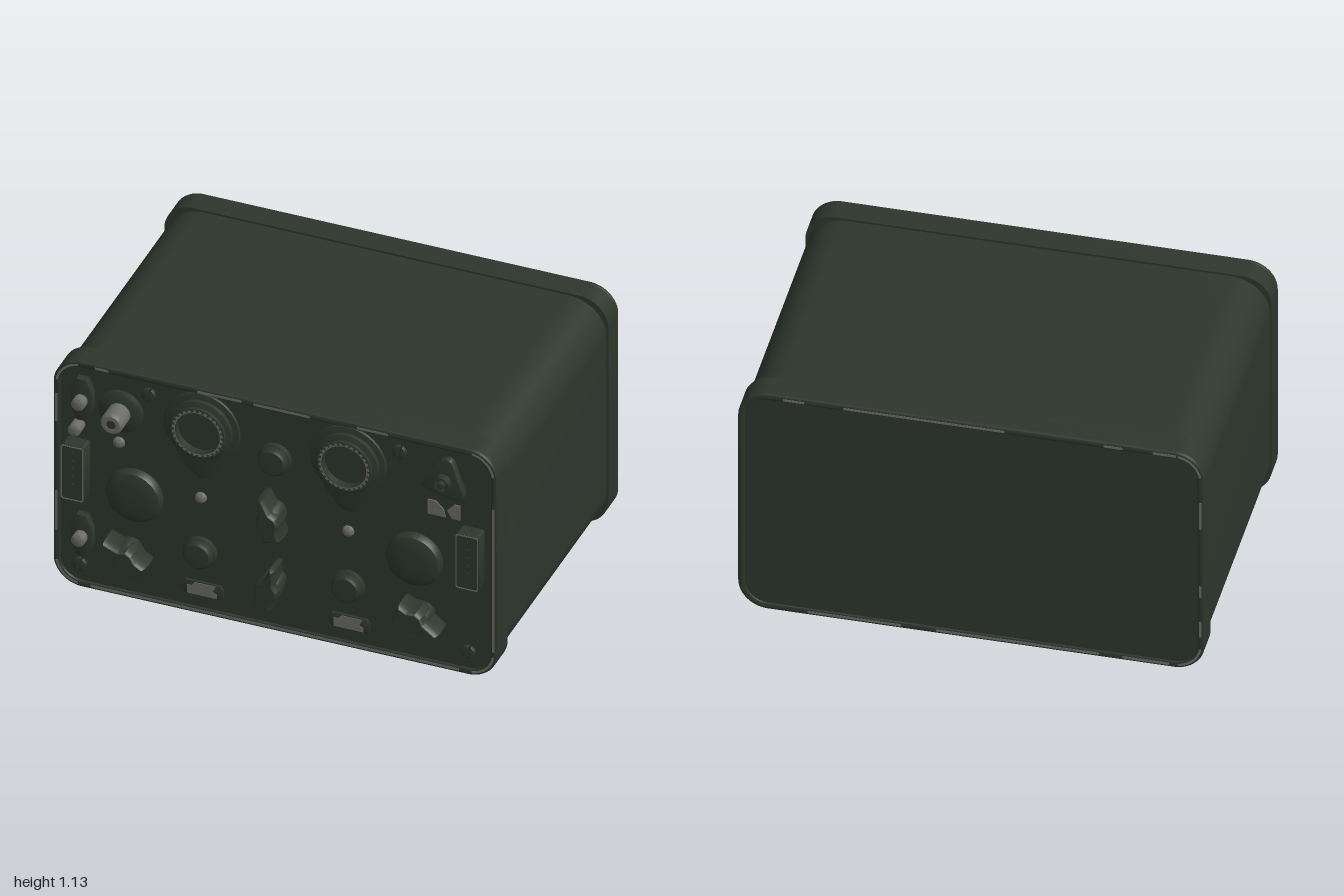
import * as THREE from 'three';
import { toCreasedNormals } from 'three/addons/utils/BufferGeometryUtils.js';

const paint = new THREE.MeshStandardMaterial({ color: 0x2d362d });
paint.name = 'dark green paint';
const metal = new THREE.MeshStandardMaterial({ color: 0x6b6c67 });
metal.name = 'bare grey metal';

const H = 1.133, FACE = 0.615, MID = H / 2;

export function createModel() {
  const model = new THREE.Group();
  model.name = 'radioUnit';

  const add = (name, geo, mat, x, y, z, rot = 0) => {
    const mesh = new THREE.Mesh(toCreasedNormals(geo, 0.6), mat);
    mesh.name = name;
    mesh.position.set(x, y, z);
    mesh.rotation.z = rot;
    model.add(mesh);
    return mesh;
  };
  const roundRect = (w, h, r, S = THREE.Shape) => {
    const s = new S();
    [[w - r, h - r], [r - w, h - r], [r - w, r - h], [w - r, r - h]].forEach(([x, y], i) =>
      s.absarc(x, y, r, i * Math.PI / 2, (i + 1) * Math.PI / 2));
    s.closePath();
    return s;
  };
  // Extrusion along z with an optional bevel kept inside the outline
  const slab = (shape, depth, bevel = 0, thick = bevel, seg = 2) => {
    const g = new THREE.ExtrudeGeometry(shape, {
      depth: depth - 2 * (bevel ? thick : 0), curveSegments: 12, bevelEnabled: bevel > 0,
      bevelSize: bevel, bevelOffset: -bevel, bevelThickness: thick, bevelSegments: seg,
    });
    return bevel ? g.translate(0, 0, thick) : g;
  };
  const poly = pts => new THREE.Shape(pts.map(p => new THREE.Vector2(...p)));
  // Turned part whose axis points forward; profile is [radius, height]
  const turned = (name, mat, profile, x, y, z = FACE - 0.005, sides = 32) =>
    add(name, new THREE.LatheGeometry(profile.map(p => new THREE.Vector2(...p)), sides)
      .rotateX(Math.PI / 2), mat, x, y, z);

  // Case between the two end rims
  add('case', slab(roundRect(0.993, MID - 0.009, 0.17), 1.3), paint, 0, MID, -0.7);

  // End rims, each a slab with a raised lip
  const lip = roundRect(1, MID, 0.13);
  lip.holes.push(roundRect(0.97, MID - 0.03, 0.1, THREE.Path));
  add('frontRim', slab(roundRect(1, MID, 0.13), 0.1), paint, 0, MID, 0.505);
  add('frontPanel', slab(roundRect(0.99, MID - 0.01, 0.12), 0.02), paint, 0, MID, FACE - 0.02);
  add('frontLip', slab(lip, 0.03, 0.009), paint, 0, MID, 0.595);
  add('backRim', slab(roundRect(1, MID, 0.13), 0.1), paint, 0, MID, -0.715);
  add('backPanel', slab(roundRect(0.99, MID - 0.01, 0.12), 0.02), paint, 0, MID, -0.727);
  add('backLip', slab(lip, 0.03, 0.009), paint, 0, MID, -0.735);

  // Worn metal on the lips: [centre x, centre y, width, height]
  const top = H - 0.016, low = 0.016, w = 0.011;
  [[-0.78, top, 0.06, w], [-0.25, top, 0.2, w], [0.03, top, 0.25, w], [0.44, top, 0.14, w],
    [0, low, 1.66, w], [0.984, 0.5, w, 0.72], [-0.984, 0.36, w, 0.2], [-0.984, 0.88, w, 0.14]]
    .forEach(([x, y, a, b]) => add('frontWear', new THREE.BoxGeometry(a, b, 0.006), metal, x, y, 0.6235));
  [[-0.83, top, 0.1, w], [-0.61, top, 0.08, w], [0.2, top, 0.69, w], [0.76, top, 0.09, w],
    [-0.984, 0.82, w, 0.14], [-0.984, 0.42, w, 0.06], [-0.984, 0.22, w, 0.08],
    [-0.2, low, 0.7, w], [0.5, low, 0.4, w], [-0.75, low, 0.2, w]]
    .forEach(([x, y, a, b]) => add('backWear', new THREE.BoxGeometry(a, b, 0.006), metal, x, y, -0.7335));
  [[-0.715, 0.14, -0.7335], [-0.715, 0.98, -0.7335]].forEach(([, y], i) =>
    add('backCornerWear', slab(cornerArc(), 0.006), metal, -0.87, i ? H - 0.13 : 0.13, -0.7365, i ? 0 : Math.PI / 2));
  [[0.87, H - 0.13, -1], [-0.87, H - 0.13, 0], [-0.87, 0.13, 1], [0.87, 0.13, 2]].forEach(([x, y, q]) =>
    add('frontCornerWear', slab(cornerArc(), 0.006), metal, x, y, 0.6205, q * Math.PI / 2));

  // Corner screws with a slot
  [[-0.57, 1.045], [0.56, 1.045], [-0.88, 0.115], [0.87, 0.115]].forEach(([x, y]) => {
    for (const s of [-1, 1]) {
      const half = new THREE.Shape();
      half.absarc(0, 0, 0.032, 0.12, Math.PI - 0.12);
      add('screwHalf', slab(half, 0.025, 0.006), paint, x, y, FACE - 0.005, s > 0 ? 1.2 : 1.2 + Math.PI);
    }
  });

  // Teardrop dials with a notched metal ring
  const tear = new THREE.Shape();
  tear.absarc(0, 0, 0.172, -0.6, Math.PI + 0.6);
  tear.bezierCurveTo(-0.09, -0.16, -0.06, -0.25, 0, -0.25);
  tear.bezierCurveTo(0.06, -0.25, 0.09, -0.16, 0.142, -0.097);
  for (const x of [-0.33, 0.33]) {
    add('dialPlate', slab(tear, 0.018, 0.005), paint, x, 0.94, FACE - 0.004);
    turned('dialCollar', paint, [[0.142, 0], [0.142, 0.035], [0.12, 0.042], [0.12, 0.058],
      [0.1, 0.058], [0.1, 0.025], [0, 0.025]], x, 0.94, FACE - 0.002, 40);
    add('dialRing', new THREE.RingGeometry(0.101, 0.115, 40), metal, x, 0.94, FACE + 0.0575);
    for (let i = 0; i < 28; i++) {
      const a = i * Math.PI / 14;
      add('dialNotch', new THREE.BoxGeometry(0.016, 0.009, 0.012), paint,
        x + 0.114 * Math.cos(a), 0.94 + 0.114 * Math.sin(a), FACE + 0.053, a);
    }
  }

  // Push buttons
  for (const [x, y] of [[0, 0.868], [-0.336, 0.313], [0.33, 0.313]])
    turned('button', paint, [[0.073, 0], [0.073, 0.025], [0.064, 0.03], [0.064, 0.05],
      [0.055, 0.058], [0, 0.061]], x, y);

  // Large round covers
  for (const x of [-0.63, 0.63])
    turned('roundCover', paint, [[0.125, 0], [0.125, 0.03], [0.117, 0.043], [0.1, 0.05],
      [0.06, 0.054], [0, 0.055]], x, 0.527, FACE - 0.005, 40);

  // Pointer knobs: [x, y, turn]
  const pointer = poly([[-0.04, -0.1], [0.04, -0.1], [0.037, -0.055], [0.055, -0.02], [0.05, 0.012],
    [0.027, 0.035], [0.012, 0.11], [-0.012, 0.11], [-0.027, 0.035], [-0.05, 0.012],
    [-0.055, -0.02], [-0.037, -0.055]]);
  for (const [x, y, a] of [[0, 0.61, 0.26], [0, 0.265, -0.24], [-0.65, 0.255, 0.97], [0.67, 0.265, -2.0]]) {
    add('pointerKnob', slab(pointer, 0.125, 0.011, 0.045, 3), paint, x, y, 0.61, a);
    turned('knobBase', paint, [[0.05, 0], [0.05, 0.07], [0.035, 0.105], [0, 0.118]], x, y, 0.613, 20);
  }

  // Antenna post
  turned('antennaFlange', paint, [[0.1, 0], [0.1, 0.02], [0.085, 0.03], [0, 0.03]], -0.695, 0.93);
  turned('antennaPost', metal, [[0.05, 0], [0.05, 0.115], [0.04, 0.125], [0.021, 0.125], [0.021, 0.09], [0, 0.09]],
    -0.695, 0.93, 0.61, 24);
  turned('antennaSocket', paint, [[0.0205, 0], [0.0205, 0.004], [0, 0.004]], -0.695, 0.93, 0.73, 20);

  // Terminal plates with metal pins
  const lens = poly([[-0.022, -0.105], [0.022, -0.105], [0.05, -0.04], [0.05, 0.04],
    [0.022, 0.105], [-0.022, 0.105], [-0.05, 0.04], [-0.05, -0.04]]);
  for (const y of [0.96, 0.275]) {
    add('terminalPlate', slab(lens, 0.04, 0.008), paint, -0.863, y, 0.61);
    turned('terminalPin', metal, [[0.03, 0], [0.03, 0.055], [0.022, 0.06], [0, 0.06]], -0.863, y, 0.635, 20);
  }
  turned('sidePin', metal, [[0.028, 0], [0.028, 0.065], [0.02, 0.07], [0, 0.07]], -0.886, 0.815, 0.61, 20);

  // Small indicator studs
  for (const [x, y] of [[-0.705, 0.768], [-0.336, 0.583], [0.328, 0.583]])
    turned('indicator', metal, [[0.027, 0], [0.024, 0.014], [0.014, 0.022], [0, 0.025]], x, y, 0.612, 20);

  // Socket blocks with a worn outline and a row of contacts
  const edge = roundRect(0.051, 0.135, 0.012);
  edge.holes.push(roundRect(0.046, 0.13, 0.009, THREE.Path));
  for (const x of [-0.889, 0.889]) {
    add('socketBlock', slab(roundRect(0.052, 0.136, 0.012), 0.075), paint, x, 0.606, 0.61);
    add('socketOutline', slab(edge, 0.003), metal, x, 0.606, 0.684);
    for (let i = 0; i < 5; i++)
      turned('contact', paint, [[0.009, 0], [0.009, 0.006], [0, 0.006]], x, 0.55 + i * 0.039, 0.684, 10);
  }

  // Triangular plate with a ringed terminal
  const tri = new THREE.Shape();
  tri.moveTo(-0.09, -0.015);
  tri.lineTo(-0.005, 0.1); tri.quadraticCurveTo(0.03, 0.12, 0.045, 0.09);
  tri.lineTo(0.095, -0.055); tri.quadraticCurveTo(0.095, -0.09, 0.06, -0.087);
  tri.lineTo(-0.08, -0.058); tri.quadraticCurveTo(-0.112, -0.045, -0.09, -0.015);
  add('triangularPlate', slab(tri, 0.04, 0.006), paint, 0.765, 0.965, 0.61);
  turned('ringTerminal', paint, [[0.036, 0], [0.036, 0.04], [0.027, 0.04], [0.027, 0.02], [0.016, 0.02],
    [0.016, 0.05], [0, 0.05]], 0.77, 0.965, 0.645, 24);

  // Bare metal tag in two halves
  add('tagLeft', slab(poly([[-0.075, -0.036], [0.004, -0.036], [-0.004, 0], [-0.04, 0.036], [-0.075, 0.036]]),
    0.006), metal, 0.762, 0.8, FACE);
  add('tagRight', slab(poly([[0.07, -0.036], [0.07, 0.036], [0.045, 0.036], [0.012, 0], [0.035, -0.036]]),
    0.006), metal, 0.762, 0.8, FACE);

  // Lower label plates
  const plate = poly([[-0.095, 0], [-0.075, -0.036], [0.085, -0.036], [0.097, -0.015],
    [0.097, 0.015], [0.085, 0.036], [-0.075, 0.036]]);
  const inlay = poly([[-0.065, -0.03], [0.07, -0.03], [0.07, -0.012], [0.05, 0], [0.065, 0.03],
    [-0.03, 0.03], [-0.045, 0.012], [-0.065, 0.012]]);
  for (const x of [-0.33, 0.33]) {
    add('labelPlate', slab(plate, 0.012, 0.003), paint, x, 0.125, FACE - 0.002);
    add('labelInlay', slab(inlay, 0.004), metal, x, 0.125, FACE + 0.009);
  }
  return model;
}

// Narrow quarter band that follows a lip corner
function cornerArc() {
  const s = new THREE.Shape();
  s.absarc(0, 0, 0.119, Math.PI / 2 + 0.15, Math.PI - 0.15);
  s.absarc(0, 0, 0.109, Math.PI - 0.15, Math.PI / 2 + 0.15, true);
  return s;
}
